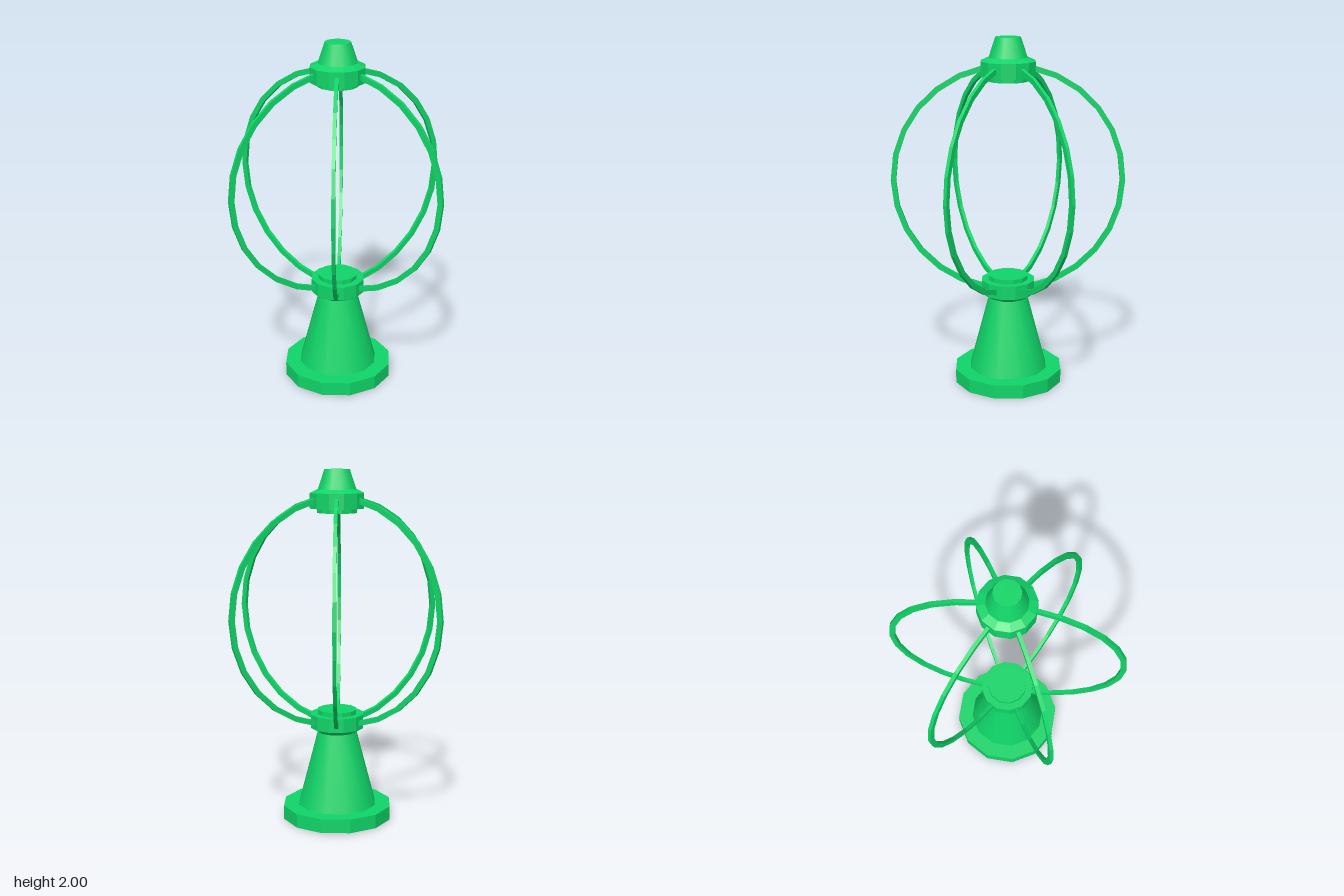
import * as THREE from 'three';

const SIDES = 12;
const COLOR = 0x10d468;

const flat = new THREE.MeshStandardMaterial({ color: COLOR, flatShading: true, side: THREE.DoubleSide });
const smooth = new THREE.MeshStandardMaterial({ color: COLOR, side: THREE.DoubleSide });

// Twelve-sided turned part; radii are measured to the flats
function turned(name, profile, material) {
  const k = 1 / Math.cos(Math.PI / SIDES);
  const points = profile.map(([r, y]) => new THREE.Vector2(r * k, y));
  const geometry = new THREE.LatheGeometry(points, SIDES, Math.PI / SIDES);
  const mesh = new THREE.Mesh(geometry, material);
  mesh.name = name;
  return mesh;
}

// Curved bar of rectangular section, bowing out along +x
function barGeometry(radius, depth, width, reach, segments) {
  const end = Math.acos(reach / radius);
  const arc = (r) => Array.from({ length: segments + 1 }, (_, i) => {
    const a = -end + (2 * end * i) / segments;
    return new THREE.Vector2(r * Math.cos(a), r * Math.sin(a));
  });
  const outline = [...arc(radius + depth / 2), ...arc(radius - depth / 2).reverse()];
  const geometry = new THREE.ExtrudeGeometry(new THREE.Shape(outline), { depth: width, bevelEnabled: false });
  return geometry.translate(0, 0, -width / 2);
}

export function createModel() {
  const model = new THREE.Group();
  model.name = 'cageLantern';

  // Foot, hollow from below
  model.add(turned('foot', [[0.305, 0], [0.305, 0.08], [0.22, 0.08]], flat));

  // Tapered stem
  model.add(turned('stem', [[0.22, 0.08], [0.11, 0.51]], smooth));

  // Lower collar with raised disc
  model.add(turned('lowerCollar', [
    [0, 0.51], [0.11, 0.51], [0.15, 0.535], [0.15, 0.615], [0.11, 0.615], [0.11, 0.64], [0, 0.64],
  ], flat));

  // Upper collar with hanging disc
  model.add(turned('upperCollar', [
    [0, 1.76], [0.11, 1.76], [0.11, 1.785], [0.15, 1.785], [0.15, 1.87], [0.108, 1.89], [0, 1.89],
  ], flat));

  // Finial: smooth taper and flat cap
  model.add(turned('finial', [[0.108, 1.885], [0.07, 2]], smooth));
  model.add(turned('finialCap', [[0.07, 2], [0, 2]], flat));

  // Six bars around the open globe
  const cage = new THREE.Group();
  cage.name = 'cage';
  const bar = barGeometry(0.646, 0.03, 0.02, 0.125, 12);
  for (let i = 0; i < 6; i++) {
    const mesh = new THREE.Mesh(bar, flat);
    mesh.name = 'cageBar';
    mesh.position.y = 1.2;
    mesh.rotation.y = (i * Math.PI) / 3;
    cage.add(mesh);
  }
  model.add(cage);

  return model;
}
